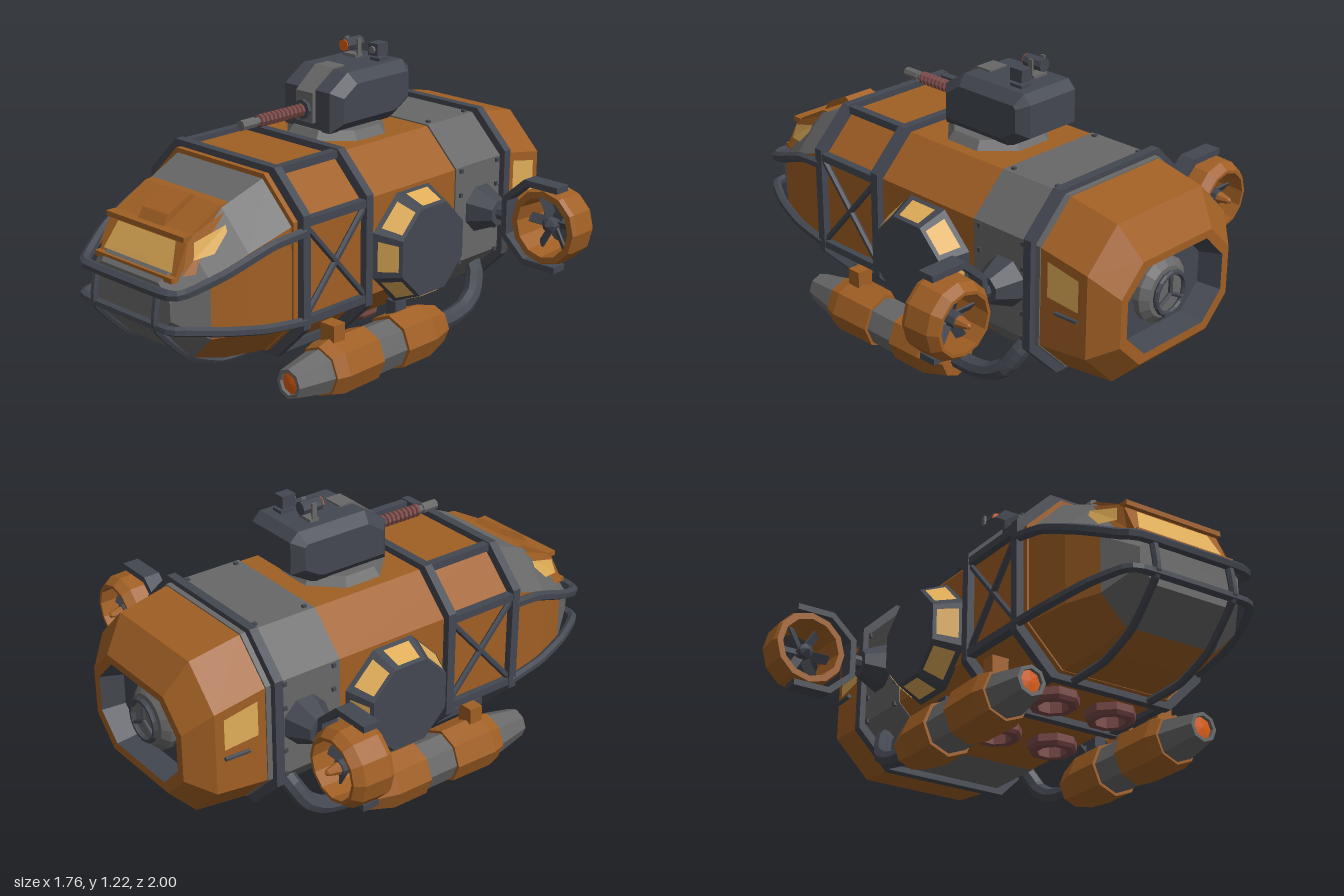
import * as THREE from 'three';

const mat = (color, double) => new THREE.MeshStandardMaterial({ color, flatShading: true, side: double ? THREE.DoubleSide : THREE.FrontSide });
const ORANGE = mat(0xa05f24), GREY = mat(0x686868), DARK = mat(0x434750), RED = mat(0x7a4a48);
const GLASS = mat(0xe0ad58, true), GLOW = mat(0xdb5c10), PANEL = mat(0xa05f24, true);
const V = (x, y, z) => new THREE.Vector3(x, y, z);

export function createModel() {
  const root = new THREE.Group();
  const add = (name, geo, material, x = 0, y = 0, z = 0) => {
    const m = new THREE.Mesh(geo, material);
    m.name = name;
    m.position.set(x, y, z);
    root.add(m);
    return m;
  };
  const both = (fn) => [1, -1].forEach(fn);
  const box = (name, material, w, h, d, x, y, z) => add(name, new THREE.BoxGeometry(w, h, d), material, x, y, z);

  // chamfered cross-section, counter-clockwise seen from the front
  const oct = (z, w, yb, yt, c) => [[w, yb + c], [w, yt - c], [w - c, yt], [c - w, yt], [-w, yt - c], [-w, yb + c], [c - w, yb], [w - c, yb]]
    .map(([x, y]) => V(x, y, z));
  const fromTris = (pts) => {
    const g = new THREE.BufferGeometry().setFromPoints(pts);
    g.computeVertexNormals();
    return g;
  };
  // skin between rings running from front to back, for the chosen facets
  const loft = (name, material, rings, { facets = [0, 1, 2, 3, 4, 5, 6, 7], front = false, back = false } = {}) => {
    const t = [], last = rings.at(-1);
    for (let k = 0; k + 1 < rings.length; k++) {
      const a = rings[k], b = rings[k + 1];
      facets.forEach((i) => { const j = (i + 1) % 8; t.push(a[i], b[i], b[j], a[i], b[j], a[j]); });
    }
    for (let i = 1; i < 7; i++) {
      if (front) t.push(rings[0][0], rings[0][i], rings[0][i + 1]);
      if (back) t.push(last[0], last[i + 1], last[i]);
    }
    return add(name, fromTris(t), material);
  };
  const panel = (name, material, p) => {
    const t = [];
    for (let i = 1; i + 1 < p.length; i++) t.push(p[0], p[i], p[i + 1]);
    return add(name, fromTris(t), material);
  };
  const bar = (name, material, a, b, r, sides = 6) => {
    const m = add(name, new THREE.CylinderGeometry(r, r, a.distanceTo(b), sides), material);
    m.position.copy(a).add(b).multiplyScalar(0.5);
    m.quaternion.setFromUnitVectors(V(0, 1, 0), b.clone().sub(a).normalize());
    return m;
  };
  const tube = (name, pts, r, segs = 28, sides = 6) =>
    add(name, new THREE.TubeGeometry(new THREE.CatmullRomCurve3(pts, false, 'catmullrom', 0.25), segs, r, sides), DARK);
  // lathe about z; profile is [radius, z]
  const turn = (name, material, profile, sides, x, y, z) =>
    add(name, new THREE.LatheGeometry(profile.map((p) => new THREE.Vector2(...p)), sides).rotateX(Math.PI / 2), material, x, y, z);
  // side profile [z, y] extruded across x
  const sideExtrude = (name, material, profile, half, bevel = 0) => {
    const shape = new THREE.Shape(profile.map(([z, y]) => new THREE.Vector2(-z, y)));
    const g = new THREE.ExtrudeGeometry(shape, { depth: 2 * (half - bevel), bevelEnabled: bevel > 0, bevelSize: bevel, bevelThickness: bevel, bevelOffset: -bevel, bevelSegments: 1 });
    return add(name, g.translate(0, 0, bevel - half).rotateY(Math.PI / 2), material);
  };

  // hull
  loft('mainHull', ORANGE, [oct(0.52, 0.39, 0.2, 0.89, 0.15), oct(-0.38, 0.39, 0.2, 0.89, 0.15)], { front: true });
  loft('midBand', GREY, [oct(-0.37, 0.395, 0.2, 0.895, 0.15), oct(-0.7, 0.395, 0.2, 0.895, 0.15)], { front: true, back: true });
  loft('tailHull', ORANGE, [oct(-0.7, 0.39, 0.2, 0.89, 0.15), oct(-0.91, 0.38, 0.22, 0.85, 0.15), oct(-1, 0.3, 0.31, 0.72, 0.11), oct(-1, 0.265, 0.345, 0.69, 0.1)]);
  loft('tailRecess', DARK, [oct(-1, 0.265, 0.345, 0.69, 0.1), oct(-0.91, 0.24, 0.365, 0.67, 0.09)], { back: true });

  // rear hatch with wheel
  turn('rearHatch', GREY, [[0, -0.04], [0.1, -0.04], [0.13, -0.015], [0.13, 0.02]], 16, 0, 0.52, -0.92);
  add('hatchWheel', new THREE.TorusGeometry(0.08, 0.011, 6, 16), DARK, 0, 0.52, -0.975);
  for (let k = 0; k < 3; k++) {
    const a = Math.PI / 2 + k * Math.PI * 2 / 3;
    bar('wheelSpoke', DARK, V(0, 0.52, -0.975), V(0.08 * Math.cos(a), 0.52 + 0.08 * Math.sin(a), -0.975), 0.009);
  }

  // nose
  const nose = [oct(0.84, 0.3, 0.26, 0.68, 0.1), oct(0.7, 0.35, 0.22, 0.8, 0.14), oct(0.5, 0.385, 0.2, 0.88, 0.15)];
  loft('noseTop', GREY, nose, { facets: [1, 2, 3] });
  loft('noseSides', ORANGE, nose, { facets: [0, 4, 5, 6, 7] });
  loft('noseTip', GREY, [oct(0.96, 0.22, 0.38, 0.57, 0.06), nose[0]], { front: true });

  // cockpit
  sideExtrude('cockpit', ORANGE, [[0.6, 0.82], [0.7, 0.81], [0.86, 0.725], [0.93, 0.58], [0.6, 0.56]], 0.21);
  sideExtrude('cockpitVisor', ORANGE, [[0.68, 0.8], [0.72, 0.825], [0.83, 0.77], [0.87, 0.71]], 0.07);
  panel('windshield', GLASS, [V(-0.19, 0.605, 0.922), V(-0.07, 0.605, 0.922), V(-0.04, 0.63, 0.911), V(0.04, 0.63, 0.911),
    V(0.07, 0.605, 0.922), V(0.19, 0.605, 0.922), V(0.16, 0.705, 0.874), V(-0.16, 0.705, 0.874)]);
  box('windshieldSill', ORANGE, 0.43, 0.02, 0.03, 0, 0.585, 0.93);
  box('windshieldBrow', ORANGE, 0.43, 0.02, 0.04, 0, 0.723, 0.865);
  both((s) => {
    panel('cockpitCheek', PANEL, [V(s * 0.235, 0.6, 0.91), V(s * 0.3, 0.6, 0.72), V(s * 0.225, 0.79, 0.69), V(s * 0.212, 0.725, 0.86)]);
    panel('cockpitSideWindow', GLASS, [V(s * 0.243, 0.65, 0.865), V(s * 0.285, 0.67, 0.73), V(s * 0.253, 0.75, 0.72), V(s * 0.23, 0.71, 0.85)]);
  });

  // frame hoops
  const flat = (r) => r.map((p) => new THREE.Vector2(p.x, p.y));
  for (const z of [0.48, 0.15, -0.66]) {
    const hoop = new THREE.Shape(flat(oct(0, 0.42, 0.175, 0.915, 0.15)));
    hoop.holes.push(new THREE.Path(flat(oct(0, 0.38, 0.21, 0.88, 0.145))));
    add('frameHoop', new THREE.ExtrudeGeometry(hoop, { depth: 0.036, bevelEnabled: false }), DARK, 0, 0, z - 0.018);
  }
  both((s) => {
    // roll cage rails and cross braces
    for (const [x, y] of [[0.25, 0.895], [0.4, 0.735], [0.4, 0.355], [0.25, 0.195]])
      box('cageRail', DARK, 0.035, 0.03, 0.33, s * x, y, 0.315);
    bar('crossBrace', DARK, V(s * 0.4, 0.37, 0.16), V(s * 0.4, 0.72, 0.47), 0.013);
    bar('crossBrace', DARK, V(s * 0.4, 0.72, 0.16), V(s * 0.4, 0.37, 0.47), 0.013);
    // band rivets
    for (const z of [-0.4, -0.62]) for (const y of [0.35, 0.45, 0.63, 0.73])
      box('rivet', DARK, 0.012, 0.016, 0.016, s * 0.397, y, z);
    for (const z of [-0.4, -0.62]) box('rivet', DARK, 0.016, 0.012, 0.016, s * 0.22, 0.897, z);

    // tail window and grab handle
    panel('tailWindow', GLASS, [V(s * 0.393, 0.56, -0.735), V(s * 0.386, 0.545, -0.875), V(s * 0.386, 0.67, -0.875), V(s * 0.393, 0.7, -0.735)]);
    bar('grabHandle', DARK, V(s * 0.4, 0.515, -0.78), V(s * 0.395, 0.515, -0.88), 0.009);

    // side observation blister
    const blister = new THREE.CylinderGeometry(0.188, 0.24, 0.115, 8, 1, false, Math.PI / 8).rotateZ(-s * Math.PI / 2);
    add('sideBlister', blister, DARK, s * 0.443, 0.505, -0.12);
    for (let k = 0; k < 8; k++) {
      const at = (t, da) => {
        const r = 0.244 - 0.052 * t, a = k * Math.PI / 4 + da;
        return V(s * (0.388 + 0.115 * t), 0.505 + r * Math.cos(a), -0.12 + r * Math.sin(a));
      };
      // corners pulled in along the facet edges
      const corner = (t, f) => at(t, -Math.PI / 8).lerp(at(t, Math.PI / 8), f);
      panel('blisterWindow', GLASS, [corner(0.2, 0.16), corner(0.2, 0.84), corner(0.88, 0.84), corner(0.88, 0.16)]);
    }

    // fan mount and bracket
    add('fanMount', new THREE.CylinderGeometry(0.055, 0.1, 0.1, 8, 1, false, Math.PI / 8).rotateZ(-s * Math.PI / 2), DARK, s * 0.445, 0.55, -0.53);
    bar('fanArm', DARK, V(s * 0.48, 0.55, -0.53), V(s * 0.54, 0.55, -0.53), 0.03, 8);
    const outer = [[0.79, 0.725], [0.63, 0.725], [0.525, 0.63], [0.525, 0.47], [0.63, 0.375], [0.79, 0.375]];
    const inner = [[0.79, 0.4], [0.64, 0.4], [0.55, 0.48], [0.55, 0.62], [0.64, 0.7], [0.79, 0.7]];
    const yoke = new THREE.Shape([...outer, ...inner].map(([x, y]) => new THREE.Vector2(s * x, y)));
    add('fanYoke', new THREE.ExtrudeGeometry(yoke, { depth: 0.07, bevelEnabled: false }), DARK, 0, 0, -0.57);

    // ducted fan
    const fx = s * 0.725, fy = 0.55, fz = -0.58;
    turn('fanDuct', ORANGE, [[0.125, -0.08], [0.15, -0.045], [0.155, 0.06], [0.148, 0.08], [0.122, 0.08], [0.112, -0.08], [0.125, -0.08]], 12, fx, fy, fz);
    turn('fanHub', DARK, [[0, -0.06], [0.03, -0.05], [0.03, 0.04], [0, 0.06]], 8, fx, fy, fz);
    turn('fanTailCone', ORANGE, [[0, -0.11], [0.012, -0.1], [0.025, -0.05], [0, -0.04]], 8, fx, fy, fz);
    for (let k = 0; k < 6; k++) {
      const blade = new THREE.BoxGeometry(0.04, 0.1, 0.008).rotateY(0.6).translate(0, 0.07, 0).rotateZ(k * Math.PI / 3 + Math.PI / 6);
      add('fanBlade', blade, DARK, fx, fy, fz);
    }

    // lower engine pod
    const px = s * 0.385, py = 0.118;
    turn('podNozzle', GREY, [[0.09, 0.35], [0.09, 0.39], [0.085, 0.42], [0.06, 0.545], [0.045, 0.545], [0.045, 0.52]], 8, px, py, 0);
    turn('podGlow', GLOW, [[0.05, 0.52], [0.045, 0.53], [0, 0.535]], 8, px, py, 0);
    turn('podFront', ORANGE, [[0, 0.14], [0.112, 0.14], [0.115, 0.33], [0.1, 0.385], [0.075, 0.385]], 8, px, py, 0);
    turn('podCollar', GREY, [[0.1, -0.02], [0.1, 0.16]], 8, px, py, 0);
    turn('podRear', ORANGE, [[0, -0.27], [0.08, -0.27], [0.113, -0.16], [0.113, 0], [0, 0]], 8, px, py, 0);
    box('podStrut', ORANGE, 0.07, 0.1, 0.06, s * 0.375, 0.24, 0.3);
    box('podStrut', DARK, 0.05, 0.1, 0.06, s * 0.35, 0.22, -0.08);
    tube('podPipe', [V(px, 0.115, -0.24), V(px, 0.115, -0.36), V(px, 0.135, -0.45), V(s * 0.375, 0.18, -0.52), V(s * 0.35, 0.25, -0.56), V(s * 0.31, 0.3, -0.58)], 0.037, 14, 8);

    // belly lift rings
    for (const z of [0.31, -0.07])
      add('bellyRing', new THREE.LatheGeometry([[0.06, 0], [0.09, 0], [0.1, 0.015], [0.1, 0.05], [0.06, 0.05], [0.06, 0]].map((p) => new THREE.Vector2(...p)), 8, Math.PI / 8), RED, s * 0.13, 0.155, z);

    // bumper uprights running under the nose
    tube('bumperUpright', [V(s * 0.17, 0.55, 0.97), V(s * 0.17, 0.41, 0.985), V(s * 0.17, 0.26, 0.84), V(s * 0.17, 0.195, 0.68), V(s * 0.17, 0.185, 0.48)], 0.016);
  });

  // bumper bars
  const bumper = (half) => [...half, ...half.toReversed().map((p) => V(-p.x, p.y, p.z))];
  tube('upperBumper', bumper([V(0.41, 0.7, 0.48), V(0.39, 0.68, 0.62), V(0.345, 0.61, 0.8), V(0.28, 0.555, 0.93), V(0.22, 0.545, 0.975)]), 0.021, 48);
  tube('lowerBumper', bumper([V(0.41, 0.355, 0.48), V(0.385, 0.37, 0.66), V(0.34, 0.395, 0.82), V(0.28, 0.415, 0.94), V(0.22, 0.415, 0.98)]), 0.019, 48);

  // turret
  add('turretBase', new THREE.CylinderGeometry(0.18, 0.21, 0.04, 8, 1, false, Math.PI / 8), GREY, 0, 0.905, -0.1);
  sideExtrude('turretBody', DARK, [[0.06, 0.92], [0.06, 1.08], [-0.04, 1.145], [-0.35, 1.145], [-0.385, 1.11], [-0.385, 0.98], [-0.3, 0.93], [-0.27, 0.92]], 0.16, 0.04);
  sideExtrude('gunMantlet', GREY, [[0.075, 0.95], [0.075, 1.07], [-0.03, 1.152], [-0.1, 1.152], [-0.1, 0.95]], 0.045);
  box('turretHatch', DARK, 0.05, 0.015, 0.06, 0.065, 1.15, -0.28);
  bar('gunBarrel', GREY, V(0, 1, 0.04), V(0, 1, 0.36), 0.016, 8);
  bar('gunMuzzle', GREY, V(0, 1, 0.34), V(0, 1, 0.41), 0.021, 8);
  turn('gunMount', DARK, [[0.04, 0.06], [0.04, 0.09], [0, 0.09]], 8, 0, 1, 0);
  for (let k = 0; k < 11; k++)
    turn('coolingRib', RED, [[0.014, -0.01], [0.026, -0.006], [0.026, 0.006], [0.014, 0.01]], 8, 0, 1, 0.1 + k * 0.021);

  // roof lamp and camera
  both((s) => box('lampFork', GREY, 0.008, 0.07, 0.02, -0.053 + s * 0.033, 1.185, -0.25));
  box('lampFoot', GREY, 0.07, 0.012, 0.04, -0.053, 1.152, -0.25);
  bar('lampBody', DARK, V(-0.053, 1.197, -0.29), V(-0.053, 1.197, -0.2), 0.027, 8);
  bar('lampLens', GLOW, V(-0.053, 1.197, -0.205), V(-0.053, 1.197, -0.195), 0.024, 8);
  bar('cameraPost', GREY, V(0.06, 1.14, -0.28), V(0.06, 1.18, -0.28), 0.012);
  box('cameraBody', DARK, 0.05, 0.05, 0.06, 0.06, 1.19, -0.275);
  bar('cameraLens', GREY, V(0.06, 1.19, -0.25), V(0.06, 1.19, -0.235), 0.015, 8);

  return root;
}
